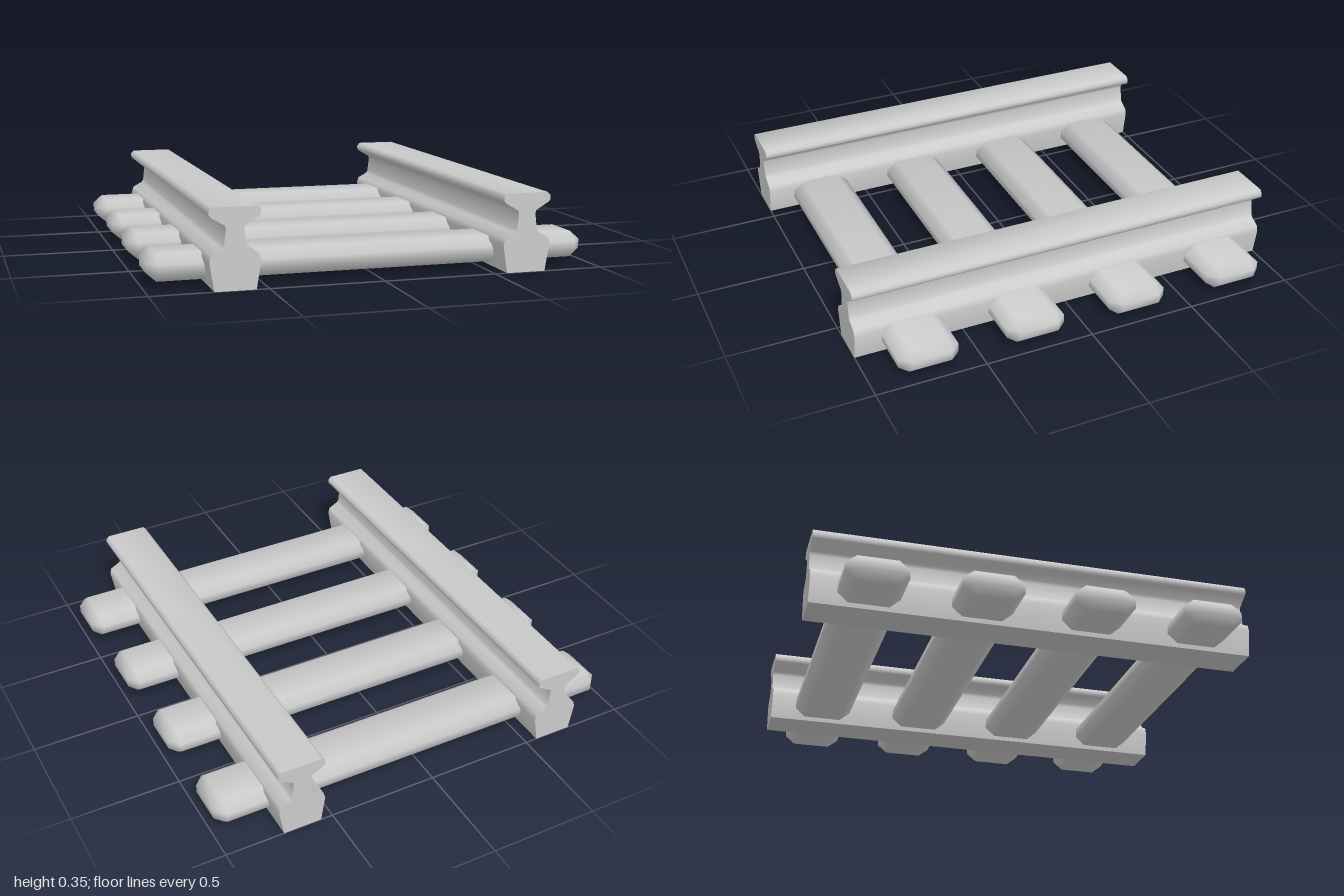
import * as THREE from 'three';
import { toCreasedNormals } from 'three/addons/utils/BufferGeometryUtils.js';
import { ConvexGeometry } from 'three/addons/geometries/ConvexGeometry.js';

const material = new THREE.MeshStandardMaterial({ color: 0xcccccc });

// Half of the rail's cross-section, from the foot up: [half width, height]
const railProfile = [
  [0.088, 0], [0.108, 0.122], [0.1, 0.149], [0.054, 0.174], [0.046, 0.188],
  [0.038, 0.255], [0.042, 0.27], [0.1, 0.304], [0.108, 0.314],
  [0.108, 0.331], [0.094, 0.346],
];

// Rail: mirrored profile extruded along z
function railGeometry() {
  const right = railProfile.map(([x, y]) => new THREE.Vector2(x, y));
  const left = railProfile.map(([x, y]) => new THREE.Vector2(-x, y)).reverse();
  const geometry = new THREE.ExtrudeGeometry(new THREE.Shape([...right, ...left]), {
    depth: 2, bevelEnabled: false,
  });
  geometry.translate(0, 0, -1);
  return toCreasedNormals(geometry, 1.2);
}

// Sleeper: box with every edge and corner cut, softly shaded
function sleeperGeometry() {
  const full = [0.98, 0.058, 0.136];
  const inner = [0.937, 0.02, 0.089];
  const points = [];
  for (let axis = 0; axis < 3; axis++) {
    for (const sx of [-1, 1]) for (const sy of [-1, 1]) for (const sz of [-1, 1]) {
      const size = inner.map((v, i) => (i === axis ? full[i] : v));
      points.push(new THREE.Vector3(sx * size[0], sy * size[1], sz * size[2]));
    }
  }
  return toCreasedNormals(new ConvexGeometry(points), 1.2);
}

export function createModel() {
  const group = new THREE.Group();
  group.name = 'railwayTrack';

  const railShape = railGeometry();
  for (const side of [1, -1]) {
    const rail = new THREE.Mesh(railShape, material);
    rail.name = side > 0 ? 'leftRail' : 'rightRail';
    rail.position.x = side * 0.643;
    group.add(rail);
  }

  const sleeperShape = sleeperGeometry();
  for (let i = 0; i < 4; i++) {
    const sleeper = new THREE.Mesh(sleeperShape, material);
    sleeper.name = `sleeper${i + 1}`;
    sleeper.position.set(0, 0.078, -0.745 + i * 0.495);
    group.add(sleeper);
  }
  return group;
}
